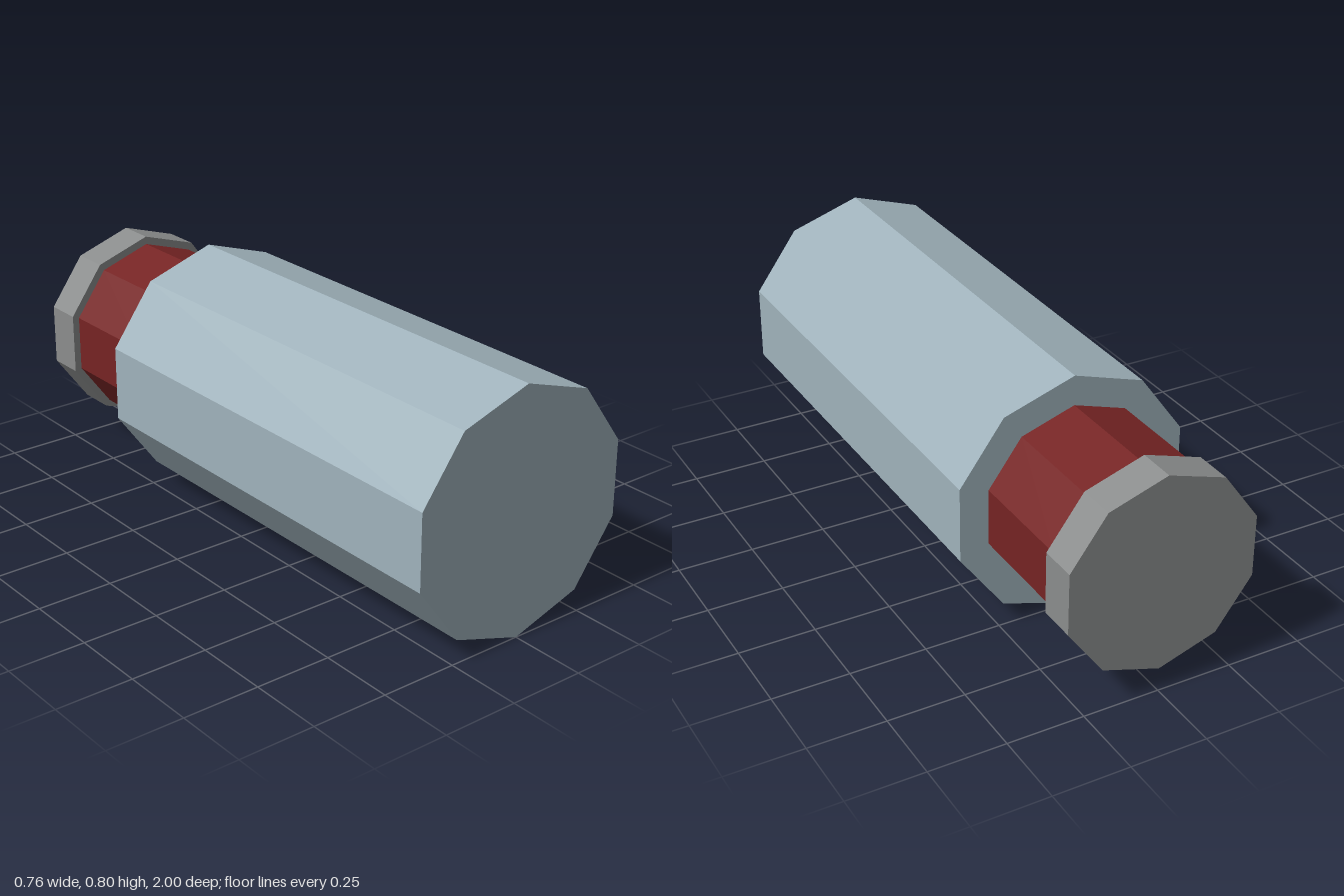
import * as THREE from 'three';

const material = (name, color) => {
  const m = new THREE.MeshStandardMaterial({ color, flatShading: true });
  m.name = name;
  return m;
};

export function createModel() {
  const group = new THREE.Group();
  group.name = 'cartridge';

  // Ten-sided prism lying along z, one corner pointing straight up
  const prism = (name, mat, radius, zFront, zBack, y) => {
    const length = zFront - zBack;
    const geometry = new THREE.CylinderGeometry(radius, radius, length, 10).rotateX(Math.PI / 2);
    const mesh = new THREE.Mesh(geometry, mat);
    mesh.name = name;
    mesh.position.set(0, y, (zFront + zBack) / 2);
    group.add(mesh);
  };

  prism('body', material('blue grey', 0xa0b3bc), 0.4, 1, -0.5, 0.4);
  prism('neck', material('dark red', 0x762424), 0.3, -0.5, -0.875, 0.402);
  prism('endCap', material('grey', 0x8b8d8d), 0.325, -0.875, -1, 0.404);

  return group;
}
